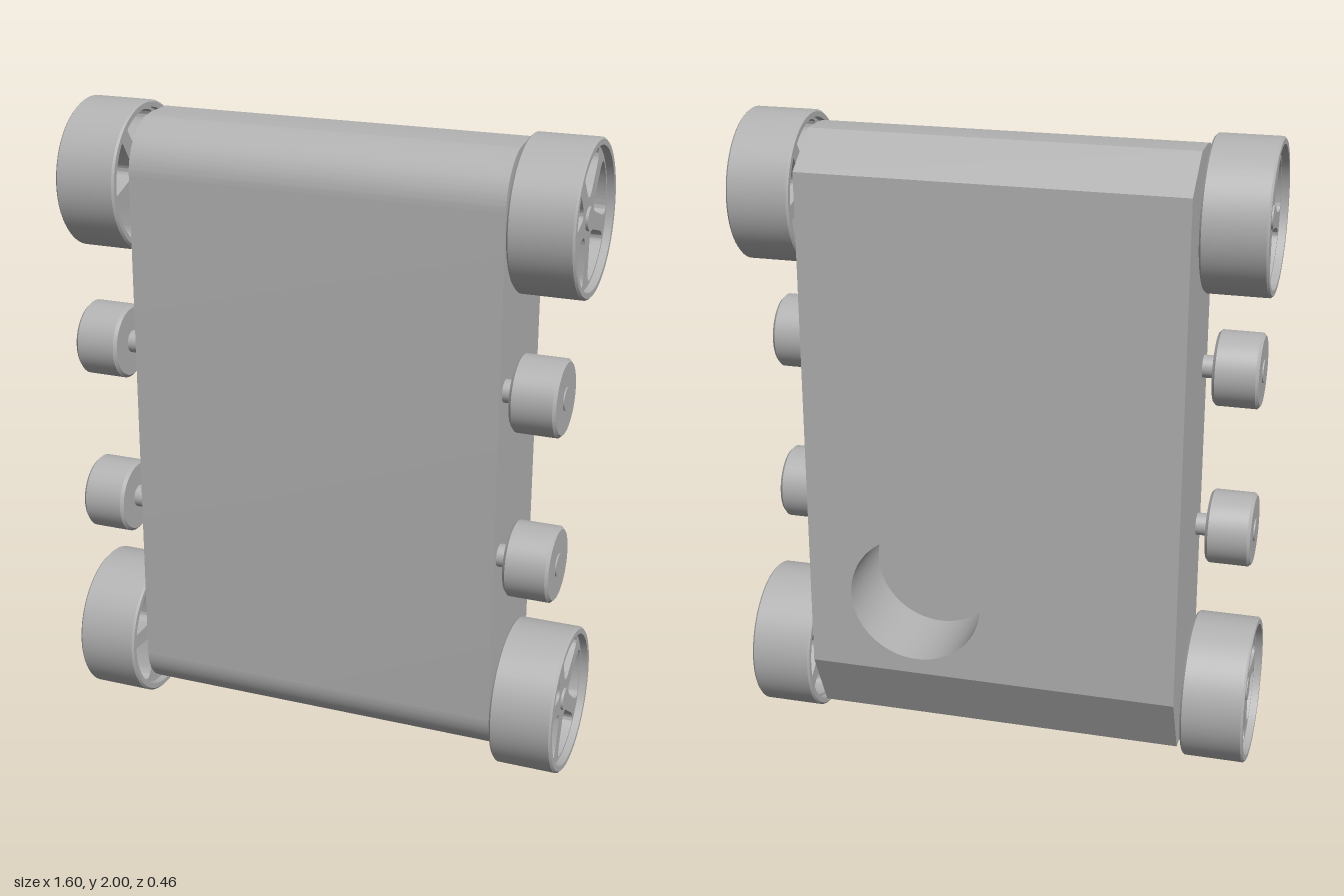
import * as THREE from 'three';
import { toCreasedNormals } from 'three/addons/utils/BufferGeometryUtils.js';

const grey = new THREE.MeshStandardMaterial({ color: 0xb2b2b2 });
grey.name = 'plain grey';

function add(parent, name, geo, x = 0, y = 0, z = 0) {
  const mesh = new THREE.Mesh(geo, grey);
  mesh.name = name;
  mesh.position.set(x, y, z);
  parent.add(mesh);
  return mesh;
}

// Extrude a side profile (u = -z, v = y) along x, centred on x = 0
function sideExtrude(shape, width) {
  const geo = new THREE.ExtrudeGeometry(shape, { depth: width, bevelEnabled: false, curveSegments: 20 });
  geo.translate(0, 0, -width / 2).rotateY(Math.PI / 2);
  return toCreasedNormals(geo, 0.5);
}

// Solid of revolution about the x axis, points are [radius, x]
function turned(points) {
  const geo = new THREE.LatheGeometry(points.map(p => new THREE.Vector2(p[0], p[1])), 64);
  return toCreasedNormals(geo.rotateZ(-Math.PI / 2), 0.5);
}

const polygon = pts => new THREE.Shape(pts.map(p => new THREE.Vector2(p[0], p[1])));

// Disc with five rounded windows that leave flared spokes
function spokeGeometry(phase) {
  const disc = new THREE.Shape().absarc(0, 0, 0.212, 0, Math.PI * 2);
  const step = Math.PI * 2 / 5;
  for (let i = 0; i < 5; i++) {
    const a = phase + i * step, b = a + step;
    const P = (r, t) => [r * Math.cos(t), r * Math.sin(t)];
    const hole = new THREE.Path();
    hole.moveTo(...P(0.2, a + 0.26));
    hole.absarc(0, 0, 0.2, a + 0.26, b - 0.26, false);
    hole.quadraticCurveTo(...P(0.2, b - 0.12), ...P(0.155, b - 0.15));
    hole.lineTo(...P(0.075, b - 0.35));
    hole.quadraticCurveTo(...P(0.05, (a + b) / 2), ...P(0.075, a + 0.35));
    hole.lineTo(...P(0.155, a + 0.15));
    hole.quadraticCurveTo(...P(0.2, a + 0.12), ...P(0.2, a + 0.26));
    disc.holes.push(hole);
  }
  return sideExtrude(disc, 0.15);
}

export function createModel() {
  const model = new THREE.Group();
  model.name = 'trackedChassis';

  // Body limits
  const width = 1.17, bottom = 0.07, top = 1.97;
  const front = 0.165, back = -0.23, floor = 0.04;
  const backLow = 0.27, backHigh = 1.87;
  const body = new THREE.Group();
  body.name = 'body';
  model.add(body);

  // Front slab with rounded upper and lower edges
  const r = 0.165, rl = 0.14;
  const slab = new THREE.Shape();
  slab.moveTo(-floor, bottom);
  slab.lineTo(-floor, top);
  slab.lineTo(-front + r, top);
  slab.absarc(-front + r, top - r, r, Math.PI / 2, Math.PI, false);
  slab.lineTo(-front, bottom + rl);
  slab.absarc(-front + rl, bottom + rl, rl, Math.PI, Math.PI * 1.5, false);
  // The slab ends at z = 0 along its rounded edges, then steps in to the pocket floor
  const slabPoints = slab.getPoints(20).filter(p => p.x <= -floor + 1e-6);
  const cut = (cy, rad, sign) => cy + sign * Math.sqrt(rad * rad - (floor - front + rad) ** 2);
  const yTop = cut(top - r, r, 1), yLow = cut(bottom + rl, rl, -1);
  const slabShape = new THREE.Shape([
    new THREE.Vector2(-floor, yLow), new THREE.Vector2(-floor, yTop),
    ...slabPoints.filter(p => p.x < -floor - 1e-4),
  ]);
  add(body, 'frontSlab', sideExtrude(slabShape, width));

  // Rear block with the round pocket
  const block = polygon([[-width / 2, backLow], [width / 2, backLow], [width / 2, backHigh], [-width / 2, backHigh]]);
  block.holes.push(new THREE.Path().absarc(0.24, 0.53, 0.21, 0, Math.PI * 2, true));
  const blockGeo = new THREE.ExtrudeGeometry(block, { depth: floor - back, bevelEnabled: false, curveSegments: 48 });
  add(body, 'pocketBlock', toCreasedNormals(blockGeo, 0.5), 0, 0, back);

  // Sloped upper and lower rear edges
  add(body, 'upperSlope', sideExtrude(polygon([
    [-floor, backHigh], [-back, backHigh], [0.09, top], [0, top], [-floor, yTop],
  ]), width));
  add(body, 'lowerSlope', sideExtrude(polygon([
    [-floor, backLow], [-floor, yLow], [-front + rl, bottom], [0.13, bottom], [-back, backLow],
  ]), width));

  // Shared wheel geometry
  const h = 0.0975, e = 0.006;
  const rim = turned([
    [0.208, -h], [0.23 - e, -h], [0.23, -h + e], [0.23, h - e], [0.23 - e, h], [0.208, h], [0.208, -h],
  ]);
  const k = 0.07, c = 0.009;
  const roller = turned([[0, -k], [0.116 - c, -k], [0.116, -k + c], [0.116, k - c], [0.116 - c, k], [0, k]]);
  const axle = length => new THREE.CylinderGeometry(0.035, 0.035, length, 32).rotateZ(Math.PI / 2);
  const wheelAxle = axle(0.22), rollerAxle = axle(0.2);
  const spokes = [spokeGeometry(Math.PI), spokeGeometry(-Math.PI / 2)];

  for (const side of [1, -1]) {
    const label = side > 0 ? 'left' : 'right';
    // Large spoked wheels
    [0.235, 1.77].forEach((y, i) => {
      const wheel = new THREE.Group();
      wheel.name = label + (i ? 'Upper' : 'Lower') + 'Wheel';
      wheel.position.set(side * 0.7025, y, 0);
      add(wheel, 'rim', rim);
      add(wheel, 'spokes', spokes[i]);
      add(wheel, 'axle', wheelAxle, -side * 0.027);
      model.add(wheel);
    });
    // Small solid rollers
    [0.74, 1.265].forEach((y, i) => {
      const wheel = new THREE.Group();
      wheel.name = label + (i ? 'Upper' : 'Lower') + 'Roller';
      wheel.position.set(side * 0.696, y, 0.105);
      add(wheel, 'roller', roller);
      add(wheel, 'axle', rollerAxle, -side * 0.026);
      model.add(wheel);
    });
  }
  return model;
}
